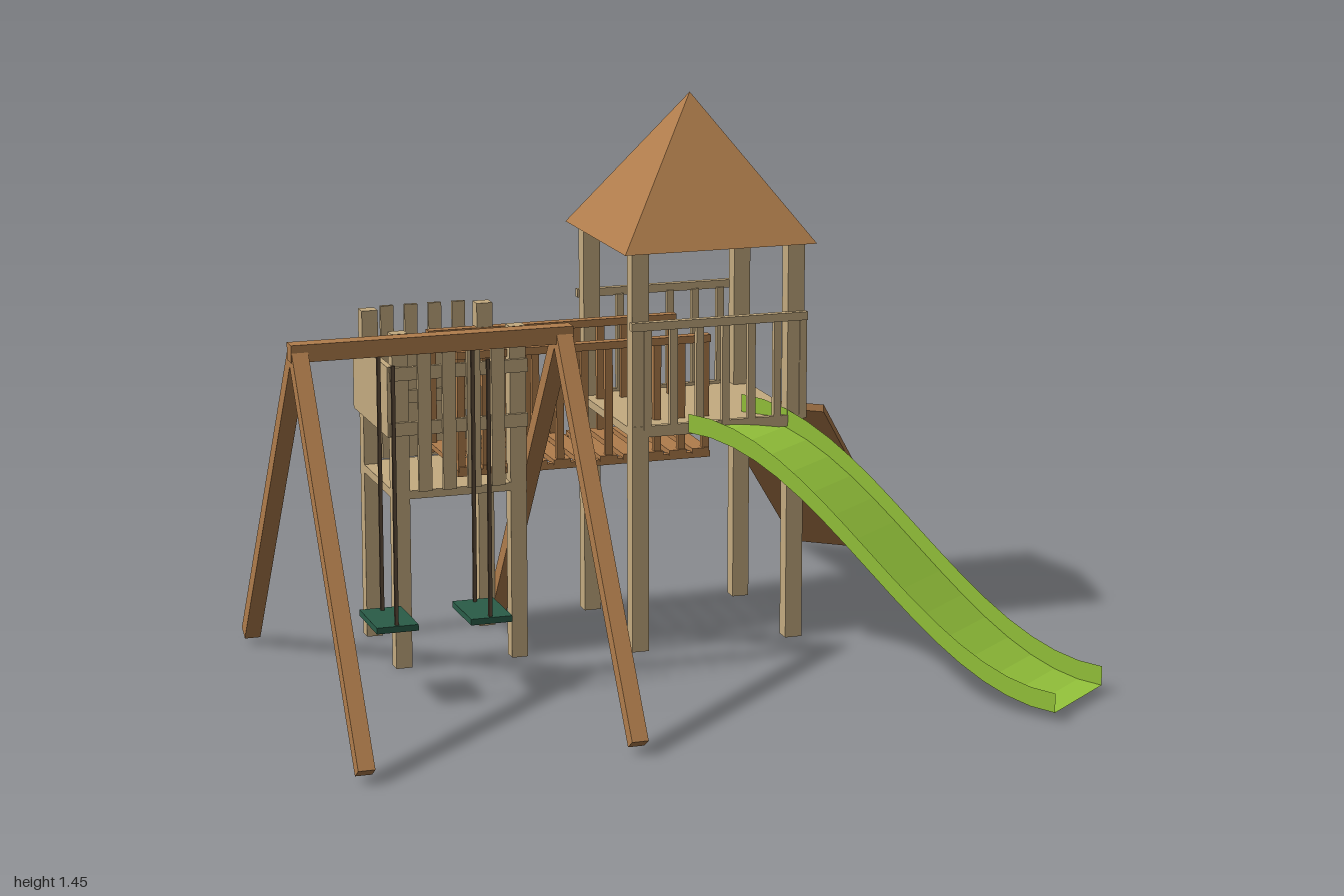
import * as THREE from 'three';

const mat = (name, color) => {
  const m = new THREE.MeshStandardMaterial({ color });
  m.name = name;
  return m;
};

export function createModel() {
  const root = new THREE.Group();
  root.name = 'playground';
  const tan = mat('pale timber', 0xc4ab80);
  const wood = mat('brown timber', 0xb07d4c);
  const lime = mat('lime plastic', 0x98c83c);
  lime.side = THREE.DoubleSide;
  const green = mat('dark green', 0x2a5c48);
  const chainMat = mat('chain', 0x5e4c3a);
  const blue = mat('blue', 0x2e86bc);
  const red = mat('red', 0xcc463c);

  const group = (name) => {
    const g = new THREE.Group();
    g.name = name;
    root.add(g);
    return g;
  };
  // Box given by its extents along each axis
  const box = (parent, name, m, [x0, x1], [y0, y1], [z0, z1]) => {
    const mesh = new THREE.Mesh(new THREE.BoxGeometry(x1 - x0, y1 - y0, z1 - z0), m);
    mesh.position.set((x0 + x1) / 2, (y0 + y1) / 2, (z0 + z1) / 2);
    mesh.name = name;
    parent.add(mesh);
    return mesh;
  };
  const around = (c, w) => [c - w / 2, c + w / 2];
  const spread = (a, b, n) => Array.from({ length: n }, (_, i) => a + (b - a) * i / (n - 1));

  // Main tower: posts, deck, front and back railings, roof
  const tower = group('mainTower');
  for (const x of [-0.027, 0.402])
    for (const z of [-0.015, -0.429])
      box(tower, 'towerPost', tan, around(x, 0.046), [0, 1.08], around(z, 0.043));
  box(tower, 'towerDeck', tan, [-0.05, 0.425], [0.58, 0.602], [-0.45, 0.006]);
  for (const [z, s] of [[0.006, 1], [-0.45, -1]]) {
    box(tower, 'topRail', tan, [-0.055, 0.43], [0.866, 0.888], around(z + s * 0.005, 0.02));
    box(tower, 'bottomRail', tan, [-0.05, 0.425], [0.59, 0.61], around(z - s * 0.006, 0.016));
    for (const x of spread(-0.008, 0.422, 7))
      box(tower, 'baluster', tan, around(x, 0.02), [0.6, 0.87], around(z - s * 0.004, 0.016));
  }
  const cone = new THREE.ConeGeometry(Math.SQRT2, 0.375, 4, 1).toNonIndexed();
  cone.rotateY(Math.PI / 4);
  cone.scale(0.263, 1, 0.257);
  cone.computeVertexNormals();
  const roof = new THREE.Mesh(cone, wood);
  roof.name = 'roof';
  roof.position.set(0.186, 1.07 + 0.1875, -0.225);
  tower.add(roof);

  // Small tower: posts, deck, picket sides, solid end panel
  const small = group('smallTower');
  for (const x of [-0.655, -0.342])
    for (const z of [-0.07, -0.375])
      box(small, 'smallPost', tan, around(x, 0.043), [0, 0.888], around(z, 0.04));
  box(small, 'smallDeck', tan, [-0.676, -0.32], [0.452, 0.474], [-0.395, -0.05]);
  box(small, 'endPanel', tan, [-0.691, -0.676], [0.62, 0.805], [-0.4, -0.045]);
  for (const [z, s] of [[-0.05, 1], [-0.395, -1]]) {
    for (const y of [0.64, 0.785])
      box(small, 'sideRail', tan, [-0.685, -0.318], around(y, 0.035), around(z + s * 0.003, 0.012));
    for (const x of spread(-0.596, -0.4, 4))
      box(small, 'picket', tan, around(x, 0.035), [0.474, 0.888], around(z + s * 0.012, 0.012));
  }

  // Bridge between the towers
  const bridge = group('bridge');
  for (const z of [-0.09, -0.367]) {
    box(bridge, 'handRail', wood, [-0.497, 0.195], [0.803, 0.823], around(z, 0.028));
    box(bridge, 'floorBeam', wood, [-0.497, 0.195], [0.492, 0.508], around(z, 0.02));
    for (const x of spread(-0.485, 0.183, 11))
      box(bridge, 'bridgeBaluster', wood, around(x, 0.02), [0.5, 0.81], around(z, 0.015));
  }
  for (const x of spread(-0.47, 0.168, 11))
    box(bridge, 'plank', wood, around(x, 0.047), [0.504, 0.518], [-0.38, -0.077]);

  // Swing frame with splayed legs
  const swings = group('swingSet');
  box(swings, 'swingBeam', wood, [-1, -0.275], [0.893, 0.937], around(0.194, 0.045));
  for (const x of [-0.978, -0.298])
    for (const footZ of [0.8, -0.418]) {
      const top = new THREE.Vector3(x, 0.915, 0.194);
      const foot = new THREE.Vector3(x, 0.024, footZ);
      const leg = new THREE.Mesh(new THREE.BoxGeometry(0.042, 0.04, top.distanceTo(foot)), wood);
      leg.name = 'swingLeg';
      leg.position.copy(top).lerp(foot, 0.5);
      leg.lookAt(foot);
      swings.add(leg);
    }
  for (const x of [-0.757, -0.513]) {
    box(swings, 'swingSeat', green, around(x, 0.108), [0.2, 0.216], [0.105, 0.278]);
    for (const z of [0.125, 0.266])
      box(swings, 'swingChain', chainMat, around(x, 0.009), [0.21, 0.88], around(z, 0.009));
  }

  // Slide: a U-shaped trough following an S curve
  const sg = new THREE.PlaneGeometry(1, 1, 3, 16);
  const p = sg.attributes.position;
  for (let i = 0; i < p.count; i++) {
    const col = i % 4, t = Math.floor(i / 4) / 16;
    const bed = 0.022 + 0.578 * (0.5 + 0.5 * Math.cos(Math.PI * t));
    p.setXYZ(i, col < 2 ? -0.134 : 0.134, bed + (col === 0 || col === 3 ? 0.05 : 0), t * 1.067);
  }
  const slideGeo = sg.toNonIndexed();
  slideGeo.computeVertexNormals();
  const slide = new THREE.Mesh(slideGeo, lime);
  slide.name = 'slide';
  slide.position.set(0.187, 0, -0.017);
  slide.rotation.y = Math.atan2(0.635, 0.772);
  root.add(slide);

  // Climbing ramp with holds
  const climb = group('climbingRamp');
  const rampGeo = new THREE.BoxGeometry(0.318, 0.02, 0.732);
  const r = rampGeo.attributes.position;
  for (let i = 0; i < r.count; i++) r.setY(i, r.getY(i) + 0.298 - r.getZ(i) * 0.576 / 0.732);
  rampGeo.computeVertexNormals();
  const ramp = new THREE.Mesh(rampGeo, wood);
  ramp.name = 'rampBoard';
  ramp.position.set(0.64, 0, -0.516);
  ramp.rotation.y = Math.atan2(0.457, -0.572);
  climb.add(ramp);
  const holds = [
    [0.745, 0.13, -0.76, red], [0.617, 0.295, -0.6, blue], [0.8, 0.213, -0.593, green],
    [0.667, 0.378, -0.43, red], [0.486, 0.463, -0.435, green], [0.537, 0.545, -0.267, blue],
  ];
  for (const [x, y, z, m] of holds)
    box(climb, 'climbingHold', m, around(x, 0.03), around(y, 0.024), around(z, 0.03));

  return root;
}
